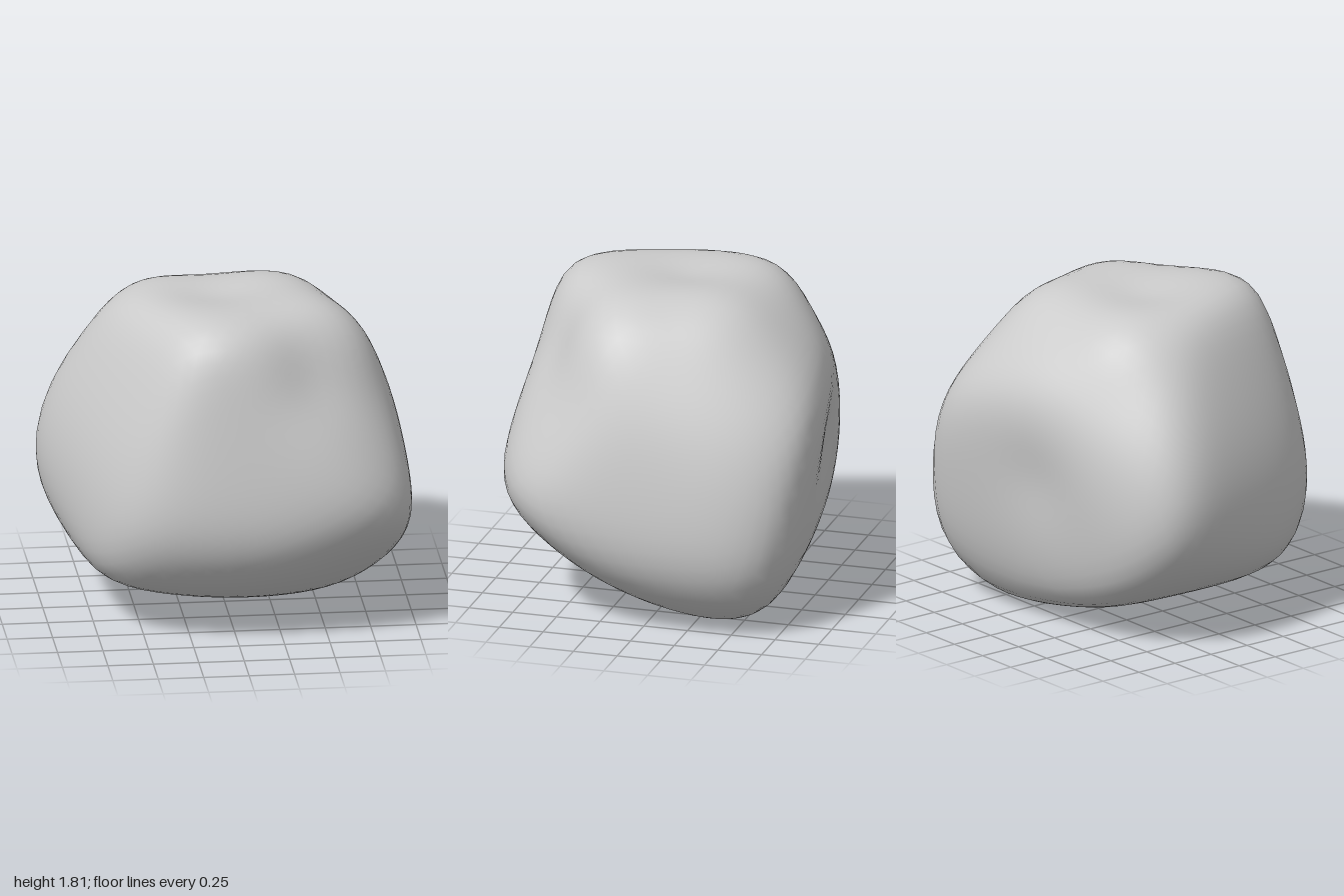
import * as THREE from 'three';
import { mergeVertices } from 'three/addons/utils/BufferGeometryUtils.js';

// Broad facets of the boulder: outward normal (any length) and distance from the centre
const facets = [
  [-0.03, 0.15, 1, 0.89],      // front
  [1, 0.12, -0.03, 0.99],      // +x side
  [-0.13, -0.15, -1, 0.83],    // back
  [-1, -0.05, 0.3, 0.97],      // -x side
  [0, 1, 0, 0.92],             // top
  [-0.26, -1, 0, 0.88],        // underside, rising to -x
  [0, -1, 0.28, 0.9],          // underside, rising to the front
  [-0.87, 0.45, 0.2, 0.92],    // upper -x slope
  [-0.79, 0.41, 0.46, 0.92],   // upper front -x corner
  [0.6, 0.5, 0.6, 0.95],       // upper front +x corner
  [0.1, 0.69, -0.72, 0.98],    // upper back slope
  [-0.45, 0.7, -0.55, 1.0],    // upper back -x corner
  [-0.49, 0.365, -0.79, 0.97], // back -x corner below the knob
  [0.7, 0.7, -0.1, 1.06],      // upper +x slope
  [0.77, 0.53, -0.345, 1.02],  // upper back +x corner
  [0.7, -0.7, 0, 1.12],        // lower +x edge
  [-0.7, -0.7, -0.1, 1.0],     // lower -x edge
  [0, -0.7, -0.7, 1.05],       // lower back edge
  [0, -0.6, 0.8, 1.0],         // lower front edge
  [-0.25, -0.61, 0.74, 1.0],   // lower front -x corner
  [0.41, -0.46, 0.79, 1.17],   // lower front +x corner
  [0.4, -0.75, 0.53, 1.0],
  [-0.65, 0.1, 0.75, 1.0],     // upright front -x corner
  [-0.75, 0, -0.66, 1.11],     // upright back corners
  [0.7, 0, -0.7, 1.16],
].map(([x, y, z, h]) => ({ n: new THREE.Vector3(x, y, z), h }));

// Shallow hollows and knobs: direction, height, spread
const dents = [
  [0.4, 0.55, 0.58, -0.05, 0.3],
  [-0.05, 0.9, 0, -0.045, 0.3],
  [-0.15, 0, -1, -0.04, 0.4],
  [0.4, 0.84, -0.34, 0.03, 0.28],
  [-0.42, 0.8, -0.42, 0.05, 0.25],
  [0.62, 0.7, 0.28, 0.07, 0.3],
].map(([x, y, z, amount, spread]) => ({ d: new THREE.Vector3(x, y, z).normalize(), amount, spread }));

// Smooth intersection of all facets, then the hollows
function radius(dir) {
  const power = 10;
  let sum = 0;
  for (const { n, h } of facets) sum += Math.pow(Math.max(0, n.dot(dir)) / h, power);
  let r = Math.pow(sum, -1 / power);
  for (const { d, amount, spread } of dents) {
    r += amount * Math.exp(-d.distanceToSquared(dir) / (spread * spread));
  }
  return r;
}

export function createModel() {
  let geometry = new THREE.IcosahedronGeometry(1, 14);
  geometry.deleteAttribute('uv');
  geometry.deleteAttribute('normal');
  geometry = mergeVertices(geometry, 1e-4);

  const pos = geometry.attributes.position;
  const v = new THREE.Vector3();
  for (let i = 0; i < pos.count; i++) {
    v.fromBufferAttribute(pos, i).normalize();
    v.multiplyScalar(radius(v));
    pos.setXYZ(i, v.x, v.y, v.z);
  }

  // Centre it and stand it on the ground
  geometry.center();
  geometry.computeBoundingBox();
  geometry.translate(0, -geometry.boundingBox.min.y, 0);
  geometry.computeVertexNormals();

  const boulder = new THREE.Mesh(geometry, new THREE.MeshStandardMaterial({ color: 0xcccccc }));
  boulder.name = 'boulder';
  const group = new THREE.Group();
  group.name = 'rock';
  group.add(boulder);
  return group;
}
